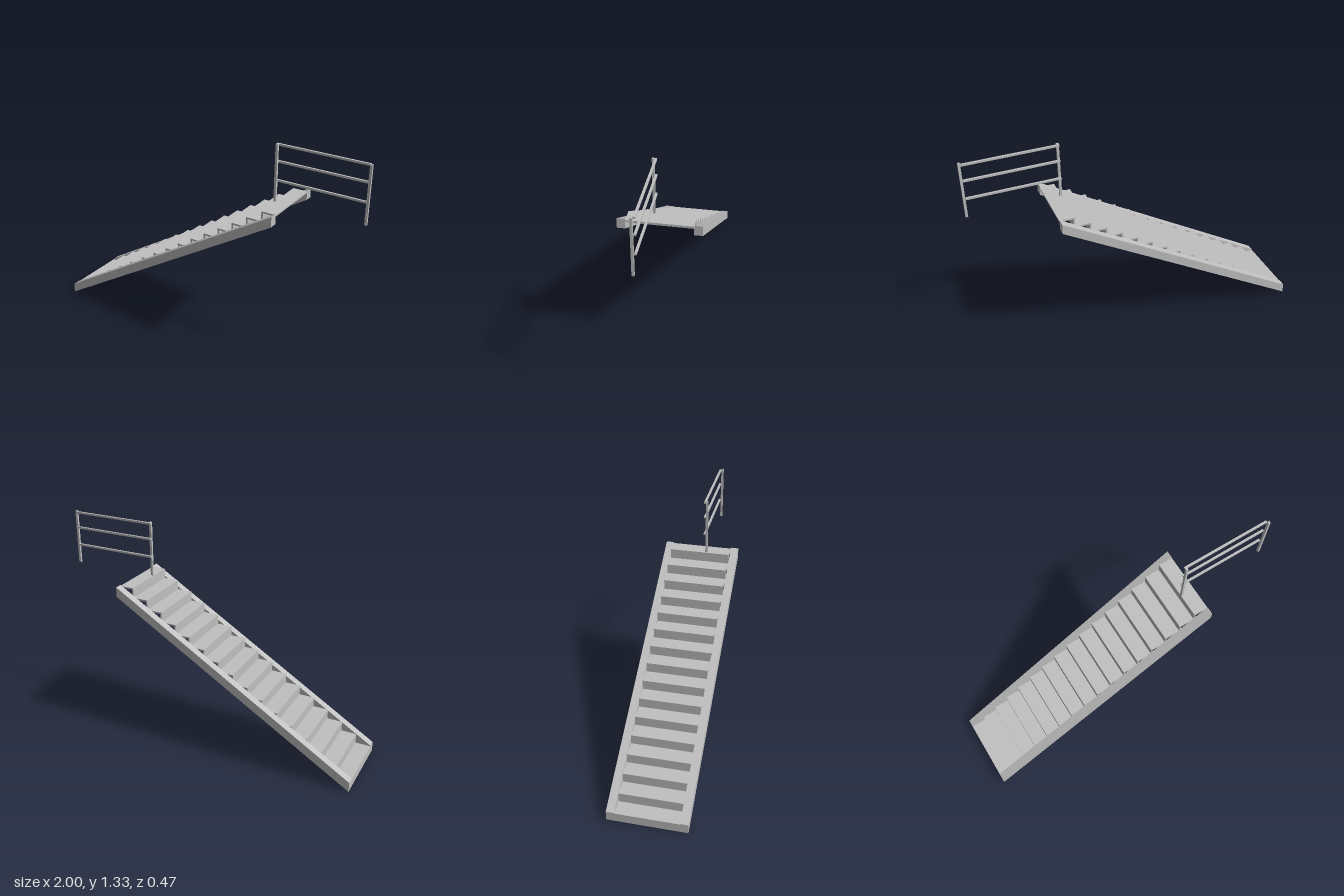
import * as THREE from 'three';

export function createModel() {
  const model = new THREE.Group();
  model.name = 'staircase';
  const steel = new THREE.MeshStandardMaterial({ color: 0xc0c0c0 });
  steel.name = 'grey steel';

  // Box given by its min and max corners
  function box(name, x0, x1, y0, y1, z0, z1, parent) {
    const mesh = new THREE.Mesh(new THREE.BoxGeometry(x1 - x0, y1 - y0, z1 - z0), steel);
    mesh.position.set((x0 + x1) / 2, (y0 + y1) / 2, (z0 + z1) / 2);
    mesh.name = name;
    parent.add(mesh);
  }

  // Sloping side beams with plumb-cut ends
  const profile = new THREE.Shape([
    new THREE.Vector2(-1, 0), new THREE.Vector2(0.53, 0.925),
    new THREE.Vector2(0.53, 0.987), new THREE.Vector2(-1, 0.062),
  ]);
  const beam = new THREE.ExtrudeGeometry(profile, { depth: 0.048, bevelEnabled: false });
  for (const [name, z] of [['frontStringer', 0.189], ['backStringer', -0.237]]) {
    const mesh = new THREE.Mesh(beam, steel);
    mesh.position.z = z;
    mesh.name = name;
    model.add(mesh);
  }

  // Thin folded steps: a riser and a tread each
  const steps = new THREE.Group();
  steps.name = 'steps';
  model.add(steps);
  const count = 16, run = 0.096, rise = 0.0615, thick = 0.01;
  for (let i = 0; i < count; i++) {
    const x = -1 + i * run;
    const top = 0.058 + i * rise;
    const end = i === count - 1 ? 0.53 : x + run;
    box('tread', x, end, top - thick, top, -0.189, 0.189, steps);
    box('riser', x, x + thick, Math.max(0, top - rise - thick), top - thick, -0.189, 0.189, steps);
  }

  // Landing guard rail: two posts with three bars fixed behind them
  const railing = new THREE.Group();
  railing.name = 'railing';
  model.add(railing);
  for (const x of [0.438, 0.986]) box('post', x, x + 0.014, 0.987, 1.33, 0.037, 0.051, railing);
  for (const y of [1.105, 1.219, 1.318]) box('railBar', 0.438, 0.986, y, y + 0.012, 0.025, 0.037, railing);

  return model;
}
